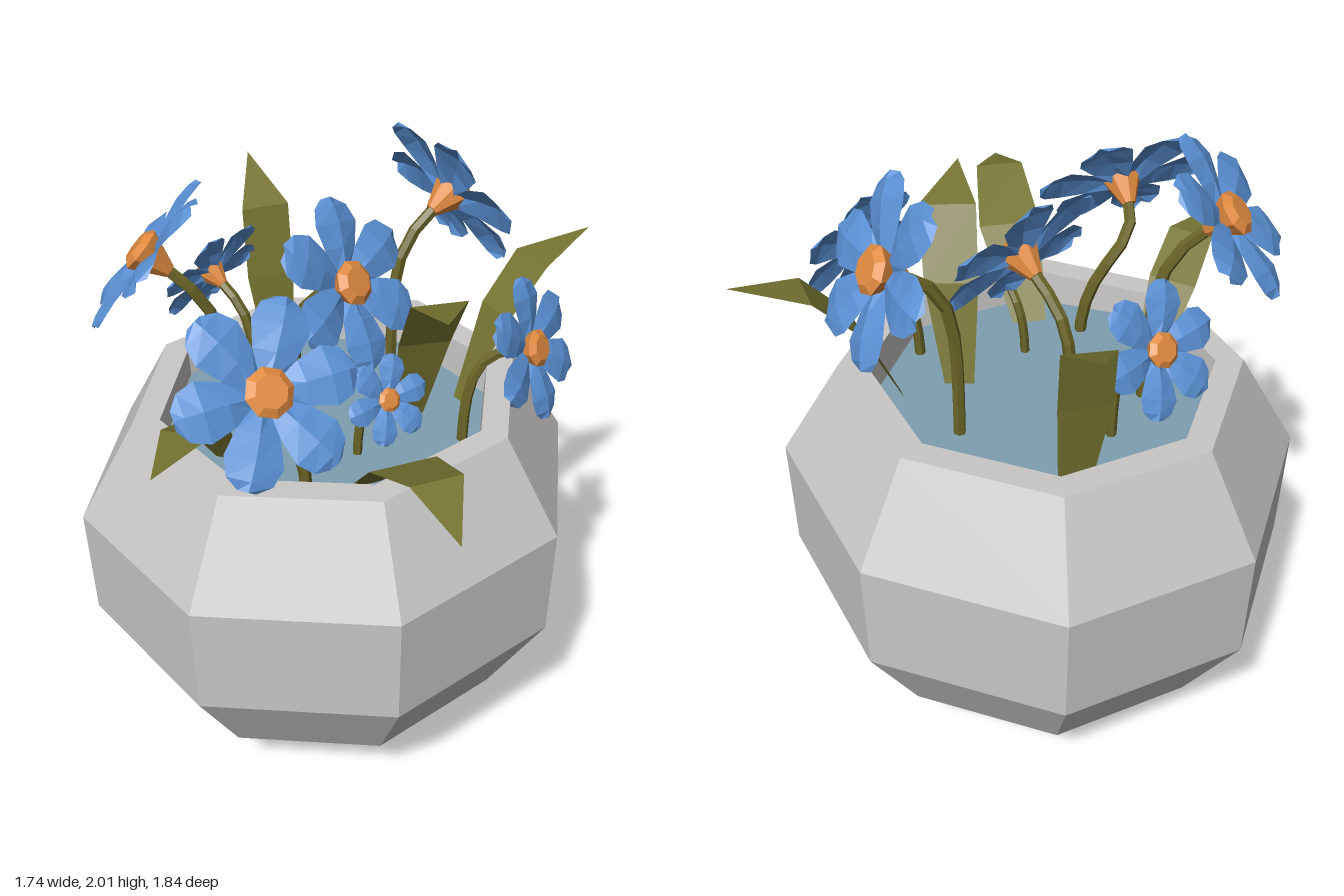
import * as THREE from 'three';

const V = (p) => new THREE.Vector3(...p);

function material(name, color, doubleSided = false) {
  const m = new THREE.MeshStandardMaterial({ color, flatShading: true });
  m.name = name;
  if (doubleSided) m.side = THREE.DoubleSide;
  return m;
}

function part(name, geometry, mat, parent) {
  const mesh = new THREE.Mesh(geometry, mat);
  mesh.name = name;
  parent.add(mesh);
  return mesh;
}

// Joins rows of points (each with the same count) into a sheet
function sheet(rows) {
  const n = rows[0].length, index = [];
  for (let i = 0; i < rows.length - 1; i++) {
    for (let j = 0; j < n - 1; j++) {
      const a = i * n + j, b = a + 1, c = a + n, d = c + 1;
      index.push(a, b, c, b, d, c);
    }
  }
  const g = new THREE.BufferGeometry();
  g.setAttribute('position', new THREE.Float32BufferAttribute(rows.flat(2), 3));
  g.setIndex(index);
  g.computeVertexNormals();
  return g;
}

// Petal along +x, facing +z: [distance, half width, height] per row
function petalGeometry(R) {
  const profile = [[0.15, 0.1, -0.04], [0.42, 0.24, 0.02], [0.7, 0.32, 0.05], [0.9, 0.25, 0.03], [1, 0.1, 0]];
  return sheet(profile.map(([x, w, z]) => [
    [x * R, -w * R, (z - 0.06) * R], [x * R * 1.01, 0, z * R], [x * R, w * R, (z - 0.06) * R],
  ]));
}

// Ribbon leaf along a path, level across its width
function leafGeometry(points, widths) {
  const start = V(points[0]), end = V(points[points.length - 1]);
  const dir = end.sub(start).setY(0).normalize();
  return sheet(points.map(([x, y, z], i) => {
    const w = widths[i];
    return [[x - dir.z * w, y, z + dir.x * w], [x + dir.z * w, y, z - dir.x * w]];
  }));
}

export function createModel() {
  const model = new THREE.Group();
  model.name = 'flowerPot';
  const stone = material('pot grey', 0xc9c8c6);
  const water = material('water blue grey', 0x7f9fb0);
  const blue = material('petal blue', 0x5a90d4, true);
  const orange = material('centre orange', 0xe08a40);
  const stemGreen = material('stem olive', 0x6a6427);
  const leafGreen = material('leaf olive', 0x757331, true);

  // Eight-sided pot, hollow at the top and leaning slightly
  const profile = [[0, 0], [0.37, 0], [0.625, 0.24], [0.82, 0.565], [0.83, 0.95], [0.64, 1.27], [0.55, 1.27], [0.54, 1.1]];
  const potGeometry = new THREE.LatheGeometry(profile.map(([r, y]) => new THREE.Vector2(r, y)), 8, 0.449);
  const pos = potGeometry.attributes.position;
  for (let i = 0; i < pos.count; i++) {
    const y = pos.getY(i);
    if (y > 0.01) pos.setY(i, y + 0.033 * pos.getX(i) + 0.018 * pos.getZ(i));
  }
  potGeometry.translate(-0.05, 0, -0.145);
  part('pot', potGeometry, stone, model);

  // Water surface
  const surface = new THREE.CircleGeometry(0.55, 8, 0.449 - Math.PI / 2);
  surface.rotateX(-Math.PI / 2);
  part('water', surface, water, model).position.set(-0.05, 1.16, -0.145);

  // Flowers: centre, facing, radius, turn of the petals, foot of the stem (x, z)
  const flowers = [
    { at: [-0.51, 1.63, 0.25], face: [-0.08, 0.6, 0.78], R: 0.28, turn: 0, foot: [-0.31, 0.12] },
    { at: [-0.54, 1.81, -0.38], face: [-0.58, 0.65, -0.48], R: 0.27, turn: 0.2, foot: [-0.33, -0.29] },
    { at: [-0.21, 1.56, -0.59], face: [-0.22, 0.5, -0.84], R: 0.2, turn: 0.1, foot: [-0.15, -0.43] },
    { at: [0.01, 1.66, -0.09], face: [0.24, 0.5, 0.82], R: 0.27, turn: 0.3, foot: [-0.07, -0.31] },
    { at: [0.5, 1.79, -0.22], face: [0.87, 0.46, -0.04], R: 0.28, turn: 0, foot: [0.27, -0.235] },
    { at: [0.37, 1.53, 0.37], face: [0.36, 0.37, 0.87], R: 0.22, turn: 0.35, foot: [0.23, 0.21] },
    { at: [-0.065, 1.42, 0.21], face: [-0.03, 0.48, 0.88], R: 0.14, turn: 0.1, foot: [-0.09, 0.08] },
  ];
  for (const { at, face, R, turn, foot } of flowers) {
    const flower = new THREE.Group();
    flower.name = 'flower';
    model.add(flower);
    const centre = V(at), normal = V(face).normalize();

    // Head turned to face its direction
    const head = new THREE.Group();
    head.name = 'flowerHead';
    const side = new THREE.Vector3(0, 1, 0).cross(normal).normalize();
    const up = normal.clone().cross(side);
    head.quaternion.setFromRotationMatrix(new THREE.Matrix4().makeBasis(side, up, normal));
    head.position.copy(centre);
    flower.add(head);
    const petal = petalGeometry(R);
    for (let i = 0; i < 6; i++) {
      part('petal', petal, blue, head).rotation.z = turn + (i * Math.PI) / 3;
    }
    // Domed centre with a tapering cup behind it
    const dome = new THREE.CylinderGeometry(0.18 * R, 0.27 * R, 0.07 * R, 8);
    dome.rotateX(Math.PI / 2).translate(0, 0, 0.085 * R);
    part('flowerCentre', dome, orange, head);
    const cup = new THREE.CylinderGeometry(0.27 * R, 0.08 * R, 0.4 * R, 8);
    cup.rotateX(Math.PI / 2).translate(0, 0, -0.15 * R);
    part('flowerCup', cup, orange, head);

    // Stem rising from the water and bending into the cup
    const curve = new THREE.CubicBezierCurve3(
      new THREE.Vector3(foot[0], 1.12, foot[1]),
      new THREE.Vector3(foot[0], 1.12 + (at[1] - 1.12) * 0.65, foot[1]),
      centre.clone().addScaledVector(normal, -R),
      centre.clone().addScaledVector(normal, -0.3 * R),
    );
    part('stem', new THREE.TubeGeometry(curve, 7, 0.01 + 0.035 * R, 6), stemGreen, flower);
  }

  // Leaves: path and half widths
  const leaves = [
    [[[0.35, 1.13, 0.02], [0.5, 1.46, 0.03], [0.64, 1.61, 0.03], [0.865, 1.665, 0.05]], [0.02, 0.075, 0.08, 0]],
    [[[-0.42, 1.13, -0.14], [-0.56, 1.38, -0.04], [-0.69, 1.47, 0.08], [-0.875, 1.465, 0.215]], [0.04, 0.08, 0.075, 0]],
    [[[-0.17, 1.13, 0.2], [-0.21, 1.4, 0.48], [-0.27, 1.505, 0.71], [-0.34, 1.44, 0.91]], [0.05, 0.105, 0.08, 0]],
    [[[0.18, 1.1, -0.02], [0.16, 1.48, 0.09], [0.12, 1.69, 0.21], [0.01, 1.74, 0.39]], [0.04, 0.085, 0.09, 0]],
    [[[0.04, 1.13, -0.57], [0.04, 1.45, -0.62], [0.06, 1.68, -0.67], [0.12, 1.79, -0.87]], [0.05, 0.08, 0.08, 0]],
  ];
  for (const [points, widths] of leaves) part('leaf', leafGeometry(points, widths), leafGreen, model);

  return model;
}
